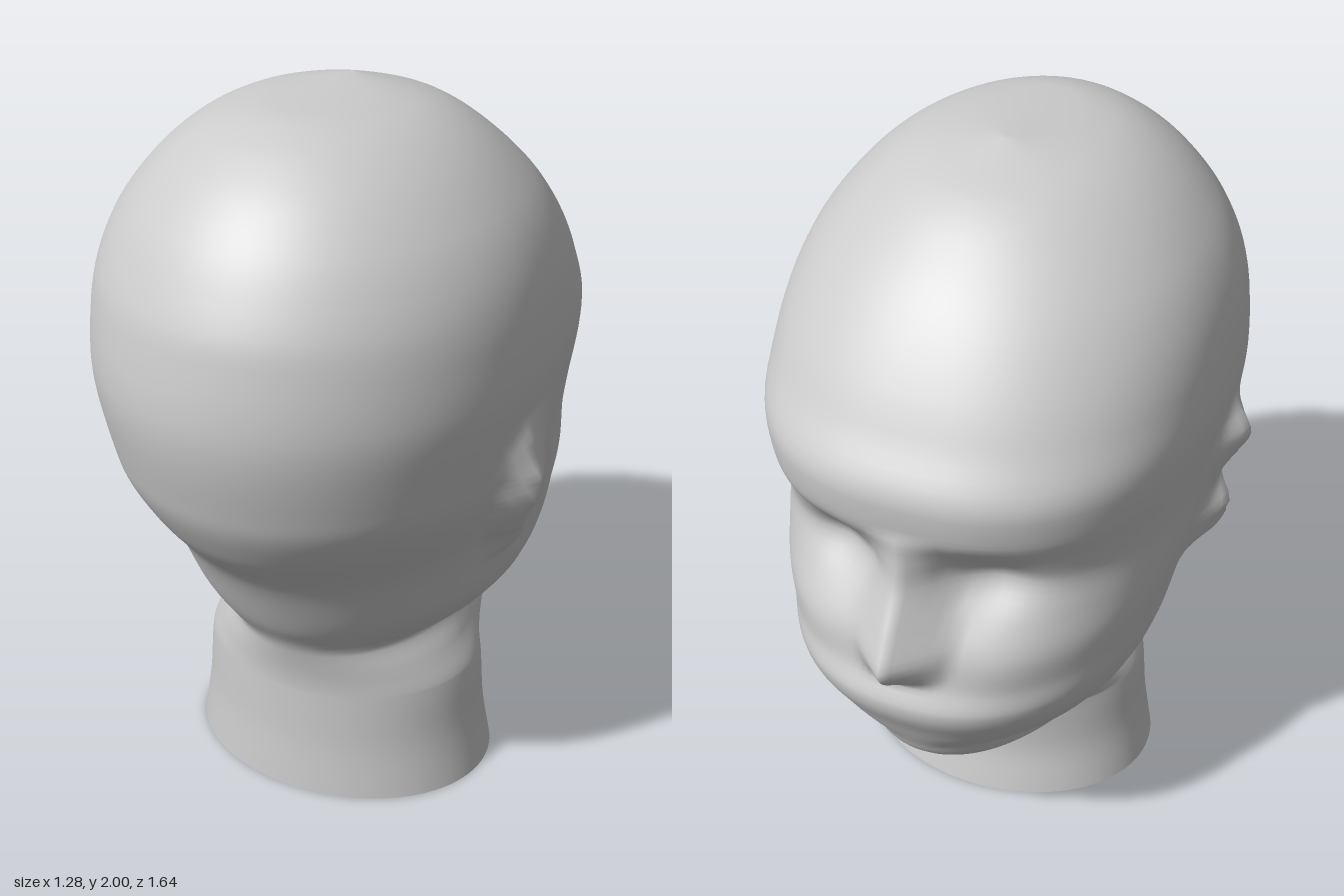
import * as THREE from 'three';

// Smooth interpolation that never overshoots: rows are [key, v1, v2, ...]
function sample(rows, t, col) {
  const last = rows.length - 1;
  if (t <= rows[0][0]) return rows[0][col];
  if (t >= rows[last][0]) return rows[last][col];
  let i = 0;
  while (t > rows[i + 1][0]) i++;
  const slope = (k) => (rows[k + 1][col] - rows[k][col]) / (rows[k + 1][0] - rows[k][0]);
  const tangent = (k) => {
    if (k === 0) return slope(0);
    if (k === last) return slope(last - 1);
    const a = slope(k - 1), b = slope(k);
    return a * b <= 0 ? 0 : (2 * a * b) / (a + b);
  };
  const h = rows[i + 1][0] - rows[i][0], u = (t - rows[i][0]) / h;
  const u2 = u * u, u3 = u2 * u;
  return (2 * u3 - 3 * u2 + 1) * rows[i][col] + (u3 - 2 * u2 + u) * h * tangent(i)
    + (3 * u2 - 2 * u3) * rows[i + 1][col] + (u3 - u2) * h * tangent(i + 1);
}

// Side profiles of the face (-z) and the back of the head (+z): [y, z]
const FACE = [
  [0, -0.31], [0.17, -0.28], [0.34, -0.29], [0.375, -0.37], [0.4, -0.48], [0.43, -0.6],
  [0.5, -0.64], [0.6, -0.69], [0.73, -0.745], [0.81, -0.715], [0.9, -0.7], [1.0, -0.66],
  [1.1, -0.63], [1.18, -0.65], [1.27, -0.69], [1.37, -0.7], [1.5, -0.63], [1.6, -0.57],
  [1.74, -0.46], [1.85, -0.34], [1.93, -0.22], [1.98, -0.07], [2, 0],
];
const BACK = [
  [0, 0.39], [0.2, 0.38], [0.33, 0.38], [0.5, 0.41], [0.6, 0.47], [0.8, 0.575], [0.96, 0.7],
  [1.1, 0.77], [1.36, 0.82], [1.55, 0.795], [1.7, 0.73], [1.8, 0.66], [1.9, 0.55], [1.98, 0.37], [2, 0],
];
// Half width by height
const WIDTH = [
  [0, 0.447], [0.17, 0.42], [0.33, 0.405], [0.43, 0.36], [0.5, 0.335], [0.55, 0.41], [0.65, 0.48],
  [0.8, 0.515], [1.0, 0.555], [1.2, 0.58], [1.36, 0.595], [1.5, 0.585], [1.6, 0.565],
  [1.7, 0.525], [1.8, 0.455], [1.9, 0.35], [1.96, 0.24], [1.98, 0.16], [2, 0],
];
// Section shape: [y, z of the widest point, front squareness, back squareness]
const SHAPE = [
  [0, 0.04, 2, 2], [0.4, 0.04, 2, 2], [0.6, -0.08, 2.2, 1.9], [0.85, -0.05, 2.3, 1.9],
  [1.1, 0.08, 2.35, 2], [1.35, 0.12, 2.45, 2], [1.7, 0.13, 2.2, 2], [1.98, 0.13, 2, 2], [2, 0, 2, 2],
];
// Nose: [y, height of ridge, half width]
const NOSE = [
  [0.8, 0, 0.11], [0.86, 0.085, 0.13], [0.925, 0.13, 0.14], [1.05, 0.11, 0.12], [1.16, 0.06, 0.1], [1.27, 0, 0.1],
];
// Ears: [y, flare, z of front edge, z of rim, z of rear edge]
const LEFT_EAR = [
  [0.76, 0, 0.02, 0.1, 0.18], [0.84, 0.045, 0.0, 0.11, 0.19], [0.91, 0.06, 0.0, 0.18, 0.24],
  [1.06, 0.085, 0.02, 0.23, 0.28], [1.16, 0.045, 0.04, 0.23, 0.31], [1.25, 0, 0.05, 0.2, 0.31],
];
const RIGHT_EAR = [
  [0.8, 0, 0.0, 0.1, 0.18], [0.88, 0.075, 0.0, 0.12, 0.2], [0.95, 0.08, 0.0, 0.13, 0.22],
  [1.03, 0.02, 0.0, 0.16, 0.25], [1.2, 0.07, 0.02, 0.13, 0.24], [1.28, 0, 0.04, 0.14, 0.24],
];

const bump = (dx, dy, rx, ry) => Math.exp(-((dx / rx) ** 2) - (dy / ry) ** 2);

function headPoint(y, angle) {
  const s = Math.sin(angle), c = Math.cos(angle);
  const zc = sample(SHAPE, y, 1), n = sample(SHAPE, y, c < 0 ? 2 : 3);
  const r = (Math.abs(s) ** n + Math.abs(c) ** n) ** (-1 / n);
  let x = sample(WIDTH, y, 1) * s * r;
  let z = zc + (c < 0 ? zc - sample(FACE, y, 1) : sample(BACK, y, 1) - zc) * c * r;

  if (c < 0 && y > 0.5) {
    // Nose ridge
    const w = Math.max(0, 1 - Math.abs(x) / sample(NOSE, y, 2));
    z -= sample(NOSE, y, 1) * w;
    // Eye sockets, cheeks
    const ax = Math.abs(x);
    z += 0.055 * bump(ax - 0.2, y - 1.1, 0.1, 0.09);
    z -= 0.015 * bump(ax - 0.27, y - 0.88, 0.12, 0.12);
  }
  // Ears flare towards the rear, then drop back to the skull
  const ear = x > 0 ? LEFT_EAR : RIGHT_EAR;
  if (Math.abs(x) > 0.3 && y > ear[0][0] && y < ear[ear.length - 1][0]) {
    const [front, rim, rear] = [2, 3, 4].map((k) => sample(ear, y, k));
    const rise = z < rim ? (z - front) / (rim - front) : (rear - z) / (rear - rim);
    x += Math.sign(x) * sample(ear, y, 1) * Math.max(0, rise);
  }
  return [x, y, z];
}

export function createModel() {
  const skin = new THREE.MeshStandardMaterial({ color: 0xcccccc, side: THREE.DoubleSide });
  skin.name = 'plain grey';

  // Ring heights follow the face profile, so the flat underside of the chin stays dense
  const heights = [], STEPS = 5, SEG = 144;
  for (let i = 0; i < FACE.length - 1; i++) {
    for (let k = 0; k < STEPS; k++) {
      heights.push(THREE.MathUtils.lerp(FACE[i][0], FACE[i + 1][0], k / STEPS));
    }
  }

  const points = [], faces = [];
  for (const y of heights) {
    for (let j = 0; j < SEG; j++) points.push(...headPoint(y, (j / SEG) * Math.PI * 2));
  }
  for (let i = 0; i < heights.length - 1; i++) {
    for (let j = 0; j < SEG; j++) {
      const a = i * SEG + j, b = i * SEG + ((j + 1) % SEG);
      faces.push(a, b, b + SEG, a, b + SEG, a + SEG);
    }
  }
  // Crown
  const crown = points.length / 3, top = crown - SEG;
  points.push(0, 2, 0);
  for (let j = 0; j < SEG; j++) faces.push(top + j, top + ((j + 1) % SEG), crown);

  const geometry = new THREE.BufferGeometry();
  geometry.setAttribute('position', new THREE.Float32BufferAttribute(points, 3));
  geometry.setIndex(faces);
  geometry.computeVertexNormals();

  const head = new THREE.Mesh(geometry, skin);
  head.name = 'headAndNeck';
  const group = new THREE.Group();
  group.name = 'mannequinHead';
  group.add(head);
  return group;
}
